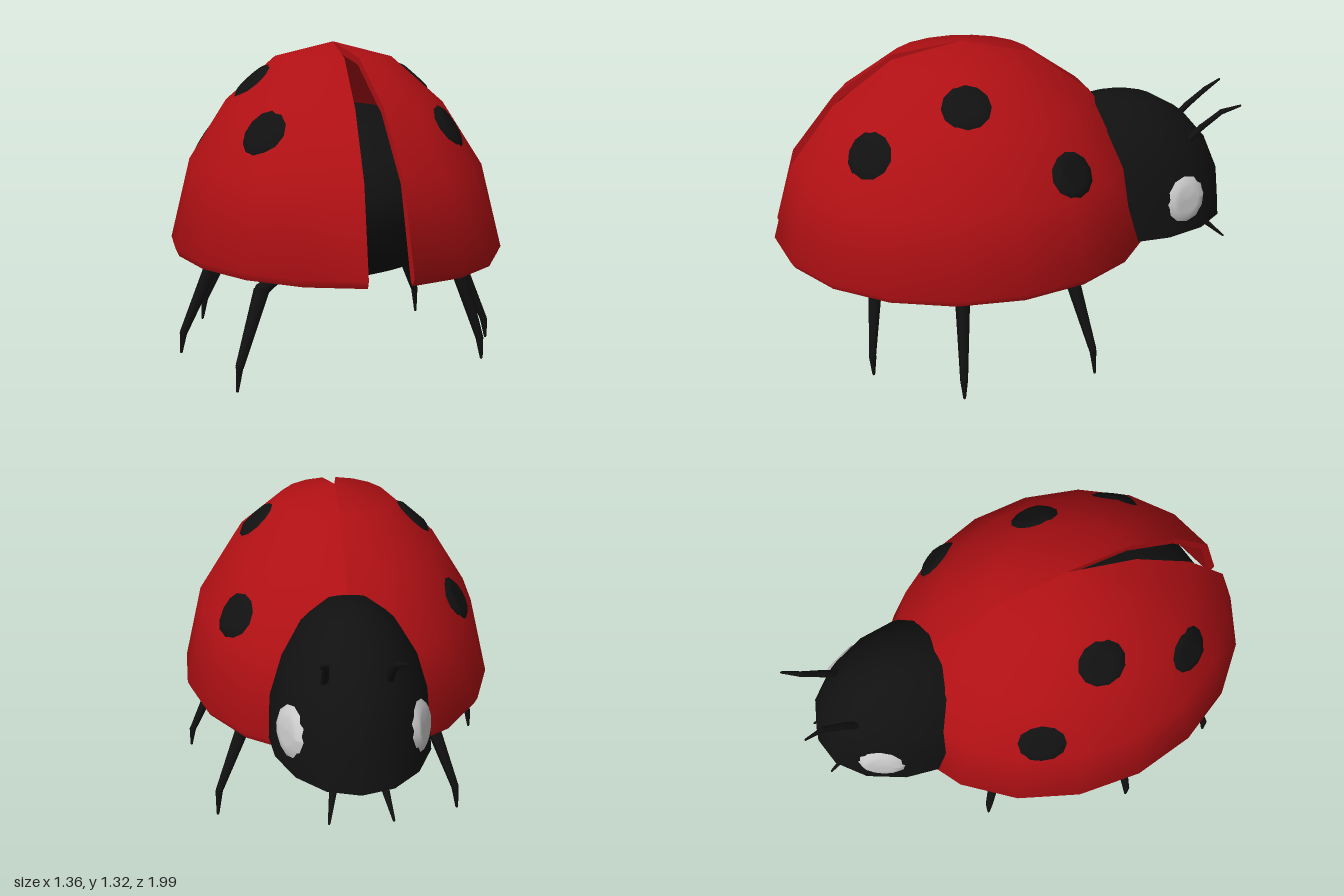
import * as THREE from 'three';
import { toCreasedNormals } from 'three/addons/utils/BufferGeometryUtils.js';

const black = new THREE.MeshStandardMaterial({ color: 0x111111, side: THREE.DoubleSide });
const red = new THREE.MeshStandardMaterial({ color: 0xb01014, side: THREE.DoubleSide });
const pale = new THREE.MeshStandardMaterial({ color: 0xcccccc, side: THREE.DoubleSide });
const V = (x, y, z) => new THREE.Vector3(x, y, z);

function mesh(name, geometry, material) {
  const m = new THREE.Mesh(geometry, material);
  m.name = name;
  return m;
}

// Tapered limb: cylinders through the points, with a ball at each joint
function limb(name, points, radii, sides = 6) {
  const group = new THREE.Group();
  group.name = name;
  for (let i = 0; i < points.length - 1; i++) {
    const d = points[i + 1].clone().sub(points[i]);
    const seg = mesh(name + 'Segment', new THREE.CylinderGeometry(radii[i + 1], radii[i], d.length(), sides), black);
    seg.position.copy(points[i]).addScaledVector(d, 0.5);
    seg.quaternion.setFromUnitVectors(V(0, 1, 0), d.normalize());
    group.add(seg);
    const joint = mesh(name + 'Joint', new THREE.SphereGeometry(radii[i + 1], sides, 4), black);
    joint.position.copy(points[i + 1]);
    group.add(joint);
  }
  return group;
}

// Thin raised pad that follows the surface of a target mesh
function pad(name, target, at, centre, radii, a, b, material) {
  const normal = at.clone().sub(centre).divide(radii).divide(radii).normalize();
  const x = V(0, 1, 0).cross(normal).normalize();
  const y = normal.clone().cross(x);
  const g = new THREE.RingGeometry(0.001, 1, 12, 4);
  const pos = g.attributes.position;
  const ray = new THREE.Raycaster();
  for (let i = 0; i < pos.count; i++) {
    const u = pos.getX(i), v = pos.getY(i);
    const start = at.clone().addScaledVector(x, u * a).addScaledVector(y, v * b);
    ray.set(start.clone().addScaledVector(normal, 0.5), normal.clone().negate());
    const hit = ray.intersectObject(target)[0];
    const p = hit ? hit.point : start;
    p.addScaledVector(normal, Math.hypot(u, v) > 0.95 ? -0.002 : 0.012);
    pos.setXYZ(i, p.x, p.y, p.z);
  }
  g.computeVertexNormals();
  return mesh(name, g, material);
}

export function createModel() {
  const model = new THREE.Group();

  // Wing cases: two thick dome sectors that part toward +z
  const outer = [[1, 0.485], [0.88, 0.82], [0.65, 1.07], [0.35, 1.25], [0, 1.31]];
  const inner = outer.map(([r, y]) => [r * 0.96, 0.455 + (y - 0.455) * 0.965]).reverse();
  inner[inner.length - 1][1] = 0.47;
  const profile = [...inner, [0.98, 0.455], ...outer].map(([r, y]) => new THREE.Vector2(r, y));
  const shellCentre = V(0, 0.48, 0.17), shellRadii = V(0.68, 0.83, 0.83);
  const gap = 0.125;
  const place = g => g.scale(0.68, 1, 0.83).translate(0, 0, 0.17);
  const spots = {
    1: [[0.37, 0.99, 0.57], [0.34, 1.16, 0.18], [0.44, 0.89, -0.23]],
    [-1]: [[-0.38, 0.98, 0.57], [-0.35, 1.16, 0.18], [-0.49, 0.89, -0.13]],
  };
  for (const side of [1, -1]) {
    const wing = new THREE.Group();
    wing.name = side > 0 ? 'leftWingCase' : 'rightWingCase';
    const start = side > 0 ? gap : Math.PI;
    const shell = mesh('wingShell', toCreasedNormals(
      place(new THREE.LatheGeometry(profile, 9, start, Math.PI - gap)), 0.9), red);
    const edge = new THREE.ShapeGeometry(new THREE.Shape(profile)).rotateY(side * gap - Math.PI / 2);
    wing.add(shell, mesh('wingEdge', place(edge), red));
    for (const s of spots[side]) {
      wing.add(pad('spot', shell, V(...s), shellCentre, shellRadii, 0.103, 0.1, black));
    }
    model.add(wing);
  }

  // Body under the wing cases
  model.add(mesh('body', new THREE.SphereGeometry(1, 18, 9)
    .rotateY(Math.PI / 18).scale(0.55, 0.365, 0.67).translate(0, 0.7, 0.17), black));

  // Head: flat-bottomed half dome
  const headProfile = [new THREE.Vector2(0, 0)];
  for (let i = 0; i <= 5; i++) {
    const t = i / 5 * Math.PI / 2;
    headProfile.push(new THREE.Vector2(i === 5 ? 0 : Math.cos(t), Math.sin(t)));
  }
  const headCentre = V(0, 0.495, -0.5), headRadii = V(0.33, 0.56, 0.485);
  const head = mesh('head', toCreasedNormals(new THREE.LatheGeometry(headProfile, 16)
    .scale(...headRadii.toArray()).translate(...headCentre.toArray()), 0.9), black);
  model.add(head);

  // Eyes, antennae and mouthparts
  for (const s of [1, -1]) {
    model.add(pad('eye', head, V(s * 0.24, 0.645, -0.755), headCentre, headRadii, 0.105, 0.105, pale));
    model.add(limb('antenna', [V(s * 0.12, 0.82, -0.75), V(s * 0.12, 0.92, -0.84),
      V(s * 0.125, 0.99, -0.92), V(s * 0.15, 1.025, -0.99)], [0.016, 0.015, 0.012, 0.005]));
    model.add(limb('mouthpart', [V(s * 0.08, 0.52, -0.82), V(s * 0.1, 0.45, -0.9),
      V(s * 0.12, 0.38, -0.985)], [0.018, 0.014, 0.005]));
  }

  // Legs: hip, knee, ankle and foot
  const legs = [
    ['leftMiddleLeg', [0.33, 0.48, 0.22], [0.54, 0.39, 0.225], [0.67, 0.1, 0.235], [0.68, 0.02, 0.235]],
    ['leftRearLeg', [0.28, 0.49, 0.55], [0.42, 0.39, 0.575], [0.5, 0.13, 0.6], [0.51, 0.045, 0.6]],
    ['leftFrontLeg', [0.28, 0.47, -0.2], [0.43, 0.37, -0.25], [0.54, 0.11, -0.32], [0.55, 0, -0.33]],
    ['rightMiddleLeg', [-0.33, 0.48, 0.23], [-0.53, 0.4, 0.235], [-0.65, 0.13, 0.24], [-0.66, 0.05, 0.24]],
    ['rightRearLeg', [-0.26, 0.49, 0.57], [-0.4, 0.39, 0.64], [-0.5, 0.12, 0.715], [-0.51, 0.03, 0.72]],
    ['rightFrontLeg', [-0.24, 0.47, -0.2], [-0.38, 0.37, -0.29], [-0.475, 0.11, -0.38], [-0.485, 0.015, -0.39]],
  ];
  for (const [name, ...pts] of legs) {
    model.add(limb(name, pts.map(p => V(...p)), [0.036, 0.03, 0.016, 0.006]));
  }
  return model;
}
